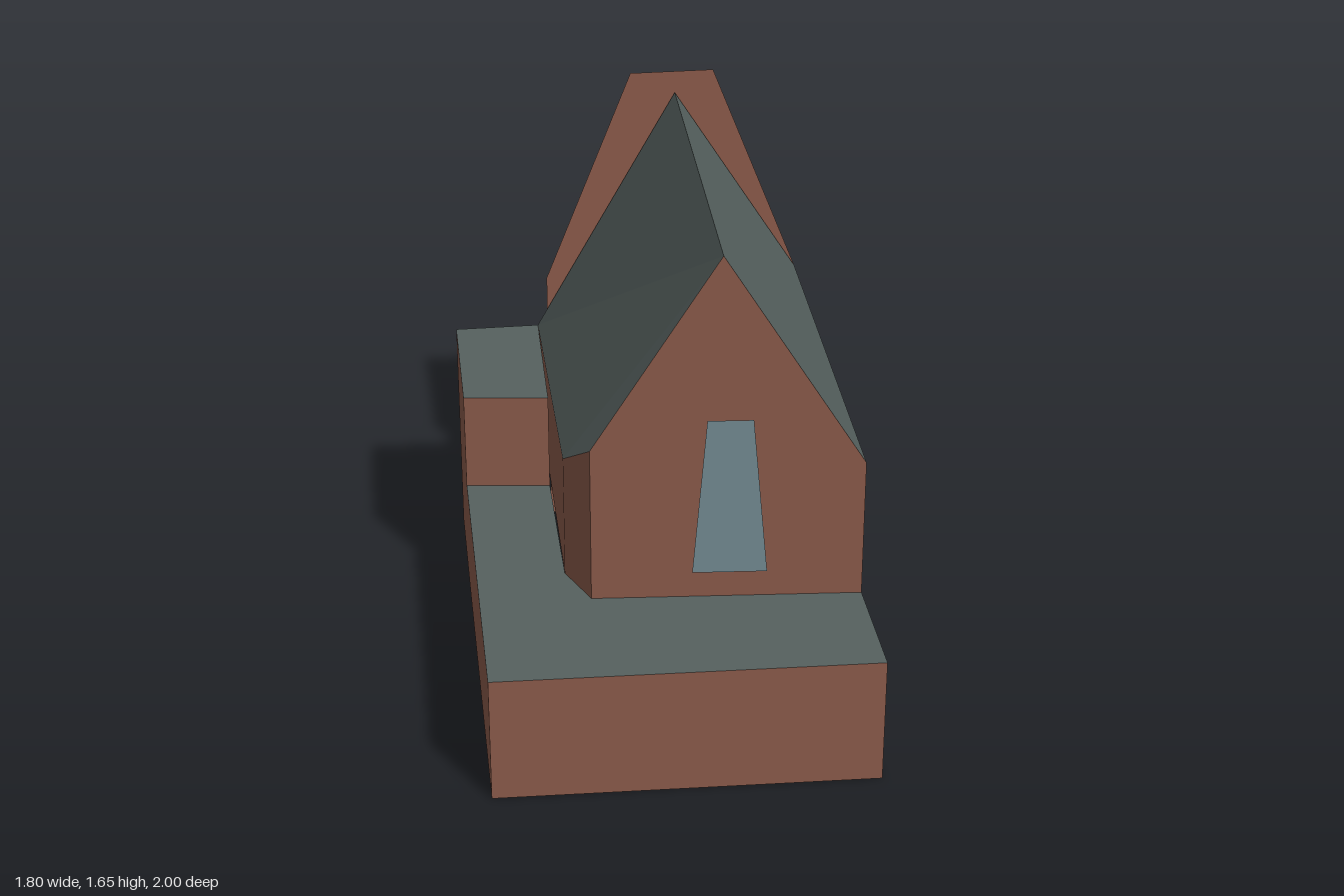
import * as THREE from 'three';

const mat = (name, color) => {
  const m = new THREE.MeshStandardMaterial({ color, side: THREE.DoubleSide });
  m.name = name;
  return m;
};

export function createModel() {
  const brick = mat('brick', 0x8a5a4a);
  const slate = mat('slate', 0x56615f);
  const glass = mat('glass', 0x728a92);
  const cream = mat('cream', 0xd8d6ca);
  const dark = mat('darkDoor', 0x2e3838);
  const model = new THREE.Group();
  model.name = 'gabledHouse';

  const P = (p, y) => [p[0], y, p[1]];

  // flat faces, each a fan of corners, merged in one mesh
  function faces(name, material, polys) {
    const pos = [];
    for (const poly of polys)
      for (let i = 1; i < poly.length - 1; i++) pos.push(...poly[0], ...poly[i], ...poly[i + 1]);
    const g = new THREE.BufferGeometry();
    g.setAttribute('position', new THREE.Float32BufferAttribute(pos, 3));
    g.computeVertexNormals();
    const m = new THREE.Mesh(g, material);
    m.name = name;
    model.add(m);
  }
  // upright wall between two plan points with its own top height at each end
  const wall = (a, b, y0, ya, yb = ya) => [P(a, y0), P(b, y0), P(b, yb), P(a, ya)];

  // plan points [x, z]
  const A = [-0.90, -0.49], B = [0.14, -1.0], C = [0.90, 0.50], D = [-0.19, 0.99];
  const E = [0.72, 0.15], F = [-0.06, 0.46], G = [-0.19, 0.35], H = [-0.65, -0.612];
  const J = [-0.43, -0.14], K = [-0.69, -0.05];
  const ridgeFront = [0.31, 1.595, 0.313], ridgeBack = [-0.23, 1.585, -0.819];
  const low = 0.425, mid = 0.755;

  // low extension wrapping the hall
  faces('lowWalls', brick, [
    wall(K, D, 0, low), wall(D, C, 0, low), wall(C, E, 0, low),
  ]);
  faces('lowRoof', slate, [
    [P(D, low), P(C, low), P(E, low), P(F, low)],
    [P(D, low), P(F, low), P(G, low)],
    [P(D, low), P(G, low), P(J, low), P(K, low)],
  ]);

  // side annex
  faces('annexWalls', brick, [
    wall(A, K, 0, mid), wall(K, J, low, mid), wall(H, A, 0, mid),
  ]);
  faces('annexRoof', slate, [[P(A, mid), P(K, mid), P(J, mid), P(H, mid)]]);

  // tall hall
  const eF = P(F, 0.95), eE = P(E, 0.89), eG = P(G, 0.84), eH = P(H, mid), eB = P(B, 0.93);
  faces('hallWalls', brick, [
    wall(E, B, 0, 0.89, 0.93),
    [P(F, low), P(E, low), eE, ridgeFront, eF],
    wall(G, F, low, 0.84, 0.95),
    wall(H, G, low, mid, 0.84),
  ]);
  faces('hallRoof', slate, [
    [ridgeFront, eE, eB, ridgeBack],
    [ridgeFront, eF, eG],
    [ridgeFront, eG, eH],
    [ridgeFront, eH, ridgeBack],
  ]);

  // tapered window in the front gable
  const frontPoint = (x, y) => [x + 0.002, y, 0.46 - (x + 0.06) * 0.31 / 0.78 + 0.006];
  faces('frontWindow', glass, [[
    frontPoint(0.23, 0.515), frontPoint(0.445, 0.515), frontPoint(0.40, 1.05), frontPoint(0.27, 1.05),
  ]]);

  // back facade: local x runs along the wall, local z points outward
  const facade = new THREE.Group();
  facade.name = 'backFacade';
  facade.position.set(B[0], 0, B[1]);
  facade.rotation.y = Math.atan2(-(A[1] - B[1]), A[0] - B[0]);
  model.add(facade);
  function plate(name, material, z, pts) {
    const s = new THREE.Shape(pts.map(p => new THREE.Vector2(...p)));
    const m = new THREE.Mesh(new THREE.ShapeGeometry(s), material);
    m.position.z = z;
    m.name = name;
    facade.add(m);
  }
  const rect = (x0, y0, x1, y1) => [[x0, y0], [x1, y0], [x1, y1], [x0, y1]];
  const back = 0.012, mid1 = 0.018, top = 0.023;

  plate('gableWall', brick, back,
    [[0, 0], [0.846, 0], [0.846, 0.925], [0.557, 1.655], [0.284, 1.655], [0, 0.93]]);

  // pair of tall windows and the sill between them
  plate('tallFrame', cream, mid1, [[0.17, 0.505], [0.36, 0.50], [0.325, 0.98], [0.25, 1.0], [0.19, 0.965]]);
  plate('tallGlass', glass, top, [[0.195, 0.505], [0.355, 0.50], [0.32, 0.97], [0.235, 0.955]]);
  plate('tallFrame', cream, mid1, [[0.44, 0.49], [0.632, 0.495], [0.60, 1.0], [0.505, 0.99], [0.44, 0.93]]);
  plate('tallGlass', glass, top, [[0.447, 0.49], [0.625, 0.495], [0.595, 0.975], [0.465, 0.915]]);
  plate('sill', cream, mid1, [[0.31, 0.425], [0.51, 0.43], [0.51, 0.475], [0.30, 0.46]]);

  // triangular attic window
  plate('atticFrame', cream, mid1, [[0.39, 1.213], [0.469, 1.33], [0.327, 1.32]]);
  plate('atticGlass', glass, top, [[0.39, 1.225], [0.43, 1.322], [0.36, 1.318]]);

  // ground floor windows and doors
  plate('smallFrame', cream, mid1, rect(0.078, 0.115, 0.185, 0.34));
  plate('smallGlass', glass, top, [[0.18, 0.13], [0.18, 0.33], [0.09, 0.325]]);
  plate('smallFrame', cream, mid1, rect(0.625, 0.108, 0.73, 0.338));
  plate('smallGlass', glass, top, [[0.635, 0.118], [0.70, 0.118], [0.72, 0.30], [0.635, 0.33]]);
  plate('mainDoor', dark, mid1, rect(0.305, 0.005, 0.504, 0.345));
  plate('annexWindow', cream, mid1, rect(0.923, 0.50, 1.05, 0.664));
  plate('annexDoor', dark, mid1, [[0.93, 0.01], [1.05, 0.01], [1.05, 0.29], [1.02, 0.305], [0.95, 0.31], [0.93, 0.295]]);

  return model;
}
